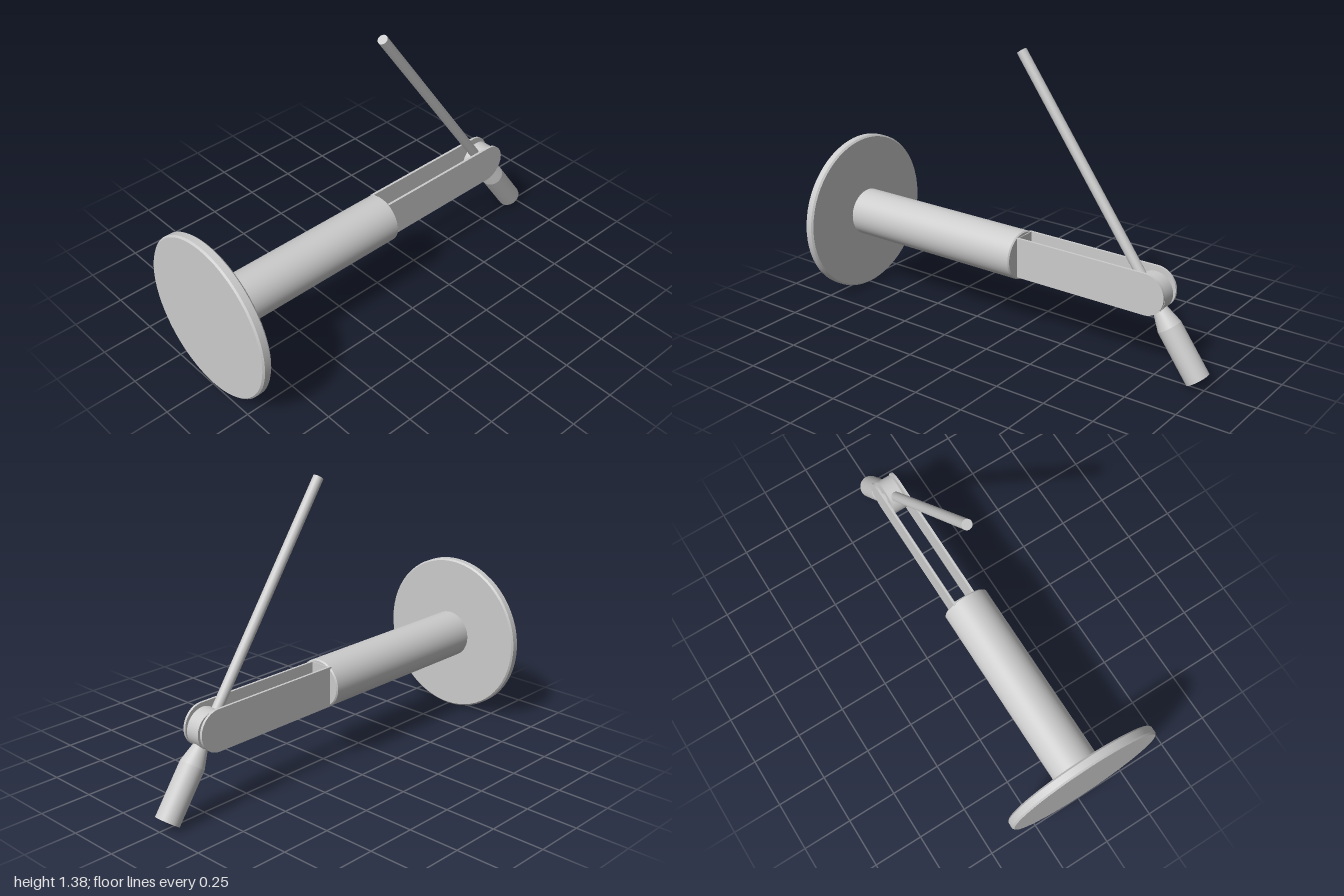
import * as THREE from 'three';

const AXIS_Y = 0.396;
const PIVOT = new THREE.Vector3(-0.005, 0.39, -0.715);

export function createModel() {
  const model = new THREE.Group();
  model.name = 'pivotLever';
  const material = new THREE.MeshStandardMaterial({ color: 0xcccccc });

  function add(name, geometry, parent = model) {
    const mesh = new THREE.Mesh(geometry, material);
    mesh.name = name;
    parent.add(mesh);
    return mesh;
  }

  // Solid turned about y; each straight run has its own vertices so edges stay crisp
  function turned(points, segments) {
    const group = new THREE.Group();
    for (let i = 0; i < points.length - 1; i++) {
      const pair = [points[i], points[i + 1]].map(([r, y]) => new THREE.Vector2(r, y));
      add('surface' + i, new THREE.LatheGeometry(pair, segments), group);
    }
    return group;
  }

  // Chamfered disc or bar lying along z
  function chamferedBar(name, radius, z0, z1, bevel) {
    const bar = turned([
      [0, z0], [radius - bevel, z0], [radius, z0 + bevel],
      [radius, z1 - bevel], [radius - bevel, z1], [0, z1],
    ], 64);
    bar.name = name;
    bar.rotation.x = Math.PI / 2;
    bar.position.y = AXIS_Y;
    model.add(bar);
  }

  chamferedBar('mountingDisc', 0.395, 0.953, 1.0, 0.008);
  chamferedBar('barrel', 0.117, -0.03, 0.954, 0.006);

  // Fork: two round-ended cheeks joined by a web at the barrel
  const r = 0.098, zTip = -0.71, zRoot = -0.02;
  const cheek = new THREE.Shape();
  cheek.moveTo(-zRoot, -r);
  cheek.lineTo(-zTip, -r);
  cheek.absarc(-zTip, 0, r, -Math.PI / 2, Math.PI / 2, false);
  cheek.lineTo(-zRoot, r);
  cheek.closePath();
  const cheekGeometry = new THREE.ExtrudeGeometry(cheek, {
    depth: 0.012, bevelEnabled: false, curveSegments: 32,
  });
  cheekGeometry.rotateY(Math.PI / 2);
  for (const [name, x] of [['forkCheekRight', -0.07], ['forkCheekLeft', 0.037]]) {
    add(name, cheekGeometry).position.set(x, AXIS_Y + 0.002, 0);
  }
  add('forkWeb', new THREE.BoxGeometry(0.1, 2 * r, 0.014)).position.set(-0.01, AXIS_Y + 0.002, -0.027);

  // Hub drum and its pin between the cheeks
  for (const [name, radius, width] of [['hub', 0.09, 0.07], ['pivotPin', 0.035, 0.108]]) {
    const part = add(name, new THREE.CylinderGeometry(radius, radius, width, 48));
    part.rotation.z = Math.PI / 2;
    part.position.copy(PIVOT);
    if (name === 'pivotPin') part.position.x = -0.0105;
  }

  // Lever: slim rod above the pivot, tapered counterweight below
  const lever = new THREE.Group();
  lever.name = 'lever';
  const rod = add('rod', new THREE.CylinderGeometry(0.024, 0.024, 1.2, 32), lever);
  rod.position.y = 0.6;
  const weight = turned([
    [0, -0.43], [0.057, -0.43], [0.057, -0.17], [0.033, -0.08], [0, -0.08],
  ], 40);
  weight.name = 'counterweight';
  lever.add(weight);
  lever.position.copy(PIVOT);
  lever.quaternion.setFromUnitVectors(
    new THREE.Vector3(0, 1, 0),
    new THREE.Vector3(0.01, 0.818, 0.575).normalize(),
  );
  model.add(lever);

  return model;
}
